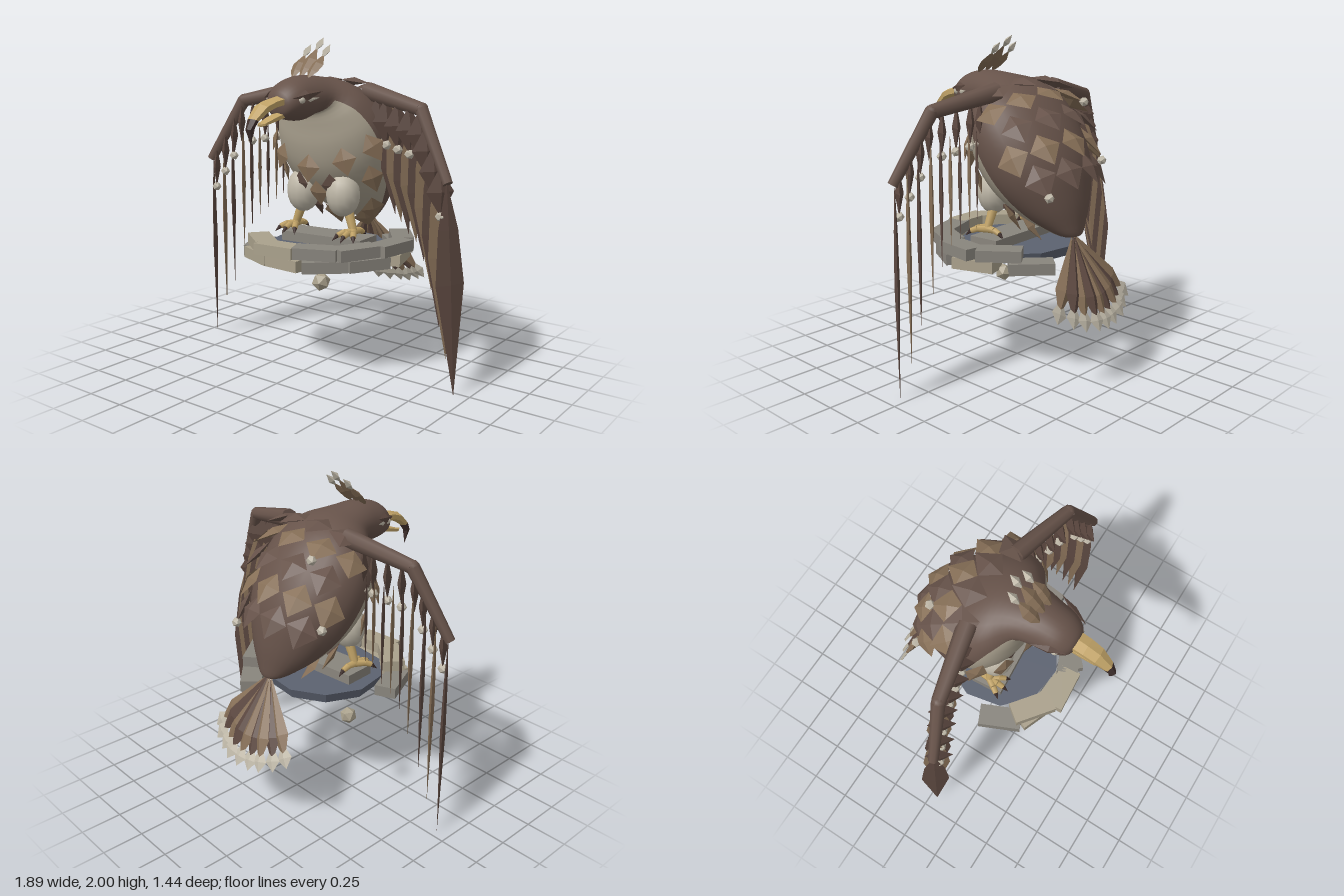
import * as THREE from 'three';

const V = (x, y, z) => new THREE.Vector3(x, y, z);
const mat = (name, color) => Object.assign(new THREE.MeshStandardMaterial({ color }), { name });

export function createModel() {
  const brown = mat('plumage brown', 0x67534a), dark = mat('dark feather brown', 0x5c4840);
  const tan = mat('tan feather', 0x866f57), cream = mat('chest cream', 0xa89f8d);
  const gold = mat('beak gold', 0xc2a468), claw = mat('claw dark', 0x40302d);
  const pale = mat('pale tip', 0xbfb8a8), stone = mat('light stone', 0xaaa18c);
  const greyStone = mat('grey stone', 0x89857d), slate = mat('slate', 0x5c6270);
  const model = new THREE.Group();
  model.name = 'perchedBird';

  const add = (name, geo, m, p) => {
    const mesh = new THREE.Mesh(geo, m);
    mesh.name = name;
    if (p) mesh.position.copy(p);
    model.add(mesh);
    return mesh;
  };
  const flat = (g) => {
    const f = g.index ? g.toNonIndexed() : g;
    f.computeVertexNormals();
    return f;
  };

  // Rings are [backY, backZ, bellyY, bellyZ, halfWidth]; the result maps (u, angle) to a surface point
  const surface = (rings) => {
    const back = new THREE.CatmullRomCurve3(rings.map((r) => V(r[4], r[0], r[1])));
    const belly = new THREE.CatmullRomCurve3(rings.map((r) => V(0, r[2], r[3])));
    const n = rings.length - 1;
    return (u, a) => {
      const b = back.getPoint(u / n), f = belly.getPoint(u / n), c = (1 + Math.cos(a)) / 2;
      return V(b.x * Math.sin(a), f.y + (b.y - f.y) * c, f.z + (b.z - f.z) * c);
    };
  };
  const loft = (fn, uMax, nu, na, pick) => {
    const pos = [], lists = [[], []];
    for (let i = 0; i <= nu; i++) for (let j = 0; j < na; j++) pos.push(...fn((uMax * i) / nu, (j / na) * Math.PI * 2).toArray());
    for (let i = 0; i < nu; i++) for (let j = 0; j < na; j++) {
      const a = i * na + j, b = i * na + ((j + 1) % na);
      lists[pick((uMax * (i + 0.5)) / nu, ((j + 0.5) / na) * Math.PI * 2)].push(a, b, a + na, b, b + na, a + na);
    }
    const g = new THREE.BufferGeometry();
    g.setAttribute('position', new THREE.Float32BufferAttribute(pos, 3));
    g.setIndex(lists.flat());
    g.addGroup(0, lists[0].length, 0);
    g.addGroup(lists[0].length, lists[1].length, 1);
    g.computeVertexNormals();
    return g;
  };

  // Ridged feather hanging from root to tip, facing n
  const feather = (name, m, root, tip, n, w, stations = [[0.45, 1]], thick = 0.25) => {
    const len = root.distanceTo(tip);
    const pts = [[0, 0], ...stations, [1, 0]].reverse().map(([t, k]) => new THREE.Vector2(k * w, -t * len));
    const g = new THREE.LatheGeometry(pts, 4);
    g.scale(1, 1, thick);
    const mesh = add(name, flat(g), m, root);
    const Y = root.clone().sub(tip).normalize(), X = Y.clone().cross(n).normalize();
    mesh.quaternion.setFromRotationMatrix(new THREE.Matrix4().makeBasis(X, Y, X.clone().cross(Y)));
    return mesh;
  };
  const gem = (p, r = 0.03) => add('paleTip', flat(new THREE.IcosahedronGeometry(r, 0)), pale, p);
  const limb = (name, m, p, q, r1, r2, sides = 8) => {
    const mesh = add(name, new THREE.CylinderGeometry(r2, r1, p.distanceTo(q), sides), m, p.clone().lerp(q, 0.5));
    mesh.quaternion.setFromUnitVectors(V(0, 1, 0), q.clone().sub(p).normalize());
    return mesh;
  };

  // Head, back and chest as one smooth loft
  const body = surface([
    [1.63, 0.48, 1.62, 0.48, 0], [1.7, 0.46, 1.56, 0.46, 0.08], [1.755, 0.39, 1.54, 0.4, 0.125],
    [1.785, 0.27, 1.53, 0.29, 0.145], [1.775, 0.1, 1.56, 0.215, 0.18], [1.75, -0.05, 1.49, 0.2, 0.28],
    [1.67, -0.2, 1.36, 0.19, 0.355], [1.5, -0.35, 1.22, 0.15, 0.375], [1.3, -0.45, 1.08, 0.05, 0.34],
    [1.1, -0.485, 0.98, -0.08, 0.255], [0.95, -0.49, 0.9, -0.25, 0.15], [0.87, -0.485, 0.86, -0.4, 0.06],
    [0.87, -0.46, 0.87, -0.45, 0]]);
  add('body', loft(body, 12, 48, 28, (u, a) => (u > 4.1 && Math.cos(a) < -0.18 ? 1 : 0)), [brown, cream]);

  // Diamond feathers laid on the body surface
  const scale = (u, a, m, len, w, lift, tip) => {
    const p = body(u, a), du = body(u + 0.05, a).sub(p).normalize(), da = body(u, a + 0.03).sub(p).normalize();
    const n = da.cross(du).normalize();
    const end = p.clone().addScaledVector(du.addScaledVector(n, lift).normalize(), len);
    feather('bodyFeather', m, p.addScaledVector(n, 0.005), end, n, w);
    if (tip) gem(end);
  };
  for (let r = 0; r < 5; r++) {
    const count = r % 2 ? 5 : 4;
    for (let i = 0; i < count; i++) {
      const a = (i - (count - 1) / 2) * 0.54;
      scale(5.0 + r * 0.7, a, r % 2 ? tan : brown, 0.21, 0.095, 0.28, (r * 5 + i * 3) % 7 === 1);
    }
  }
  // Chest, flank and under-tail feathers
  scale(6.25, Math.PI, tan, 0.17, 0.085, 0.3);
  for (const s of [-1, 1]) {
    scale(6.1, Math.PI + s * 0.62, tan, 0.17, 0.075, 0.3);
    scale(6.0, Math.PI + s * 1.15, tan, 0.18, 0.07, 0.25);
    scale(7.1, Math.PI + s * 1.0, tan, 0.18, 0.07, 0.25);
    scale(7.1, Math.PI + s * 0.3, dark, 0.16, 0.065, 0.3);
    scale(8.2, Math.PI + s * 0.35, dark, 0.18, 0.07, 0.3);
    scale(8.6, Math.PI + s * 0.95, tan, 0.19, 0.075, 0.3);
    scale(9.3, Math.PI + s * 0.7, tan, 0.19, 0.08, 0.3);
  }
  scale(7.4, Math.PI, tan, 0.17, 0.07, 0.3);
  scale(8.6, Math.PI, tan, 0.2, 0.08, 0.3);

  // Faceted beak with dark hooked tip, listed from tip to base
  const beak = surface([
    [1.42, 0.69, 1.42, 0.688, 0], [1.51, 0.722, 1.5, 0.68, 0.022], [1.565, 0.69, 1.545, 0.65, 0.036],
    [1.64, 0.61, 1.585, 0.585, 0.055], [1.665, 0.53, 1.605, 0.53, 0.06], [1.68, 0.45, 1.615, 0.45, 0.062]]);
  add('upperBeak', flat(loft(beak, 5, 5, 6, (u) => (u < 2 ? 1 : 0))), [gold, claw]);
  const jaw = surface([
    [1.53, 0.635, 1.52, 0.635, 0], [1.54, 0.6, 1.515, 0.6, 0.03], [1.57, 0.52, 1.53, 0.52, 0.04], [1.59, 0.45, 1.545, 0.45, 0.045]]);
  add('lowerBeak', flat(loft(jaw, 3, 3, 6, () => 0)), [gold, gold]);

  for (const s of [-1, 1]) {
    // Eye and brow
    add('eye', new THREE.SphereGeometry(0.022, 10, 8), pale, V(s * 0.115, 1.655, 0.395));
    feather('brow', dark, V(s * 0.1, 1.665, 0.46), V(s * 0.165, 1.7, 0.27), V(s, 0.4, 0.2), 0.03, [[0.5, 1]], 0.6);
    feather('cheekFeather', pale, V(s * 0.11, 1.64, 0.42), V(s * 0.155, 1.665, 0.28), V(s, 0, 0.2), 0.015);

    // Wing bones
    const shoulder = V(s * 0.24, 1.69, -0.07), elbow = V(s * 0.66, 1.605, 0.02), wrist = V(s * 0.88, 1.22, 0.1);
    limb('upperWingBone', brown, shoulder, elbow, 0.055, 0.04);
    limb('lowerWingBone', brown, elbow, wrist, 0.04, 0.03);
    add('wingElbow', new THREE.SphereGeometry(0.04, 8, 6), brown, elbow);
    const boneAt = (x) => (x < 0.66 ? shoulder.clone().lerp(elbow, (x - 0.24) / 0.42) : elbow.clone().lerp(wrist, (x - 0.66) / 0.22));
    const face = V(s * 0.8, 0, 0.6);

    // Long flight feathers, outermost first; the inner ones start behind the coverts
    [[0.92, 0], [0.85, 0.2], [0.79, 0.37], [0.72, 0.57], [0.66, 0.73], [0.6, 0.83], [0.54, 0.87], [0.48, 0.93], [0.43, 0.97]].forEach(([x, y], i) => {
      const root = boneAt(x - 0.05);
      root.y -= Math.min(0.16, i * 0.03);
      feather('flightFeather', i % 2 ? tan : dark, root, V(s * x, y, root.z - 0.05), face, 0.085 - i * 0.004, [[0.22, 0.7], [0.47, 1]], 0.18);
    });
    // Short covert feathers with pale tips
    [0.34, 0.4, 0.49, 0.58, 0.66, 0.71, 0.77, 0.83].forEach((x, i) => {
      const root = boneAt(x).add(V(0, 0, 0.02)), tip = root.clone().add(V(s * 0.01, -0.27, 0));
      feather('covertFeather', dark, root, tip, face, 0.082, [[0.5, 1]], 0.3);
      if (i !== 4) gem(tip);
    });

    // Thigh, leg, toes and claws
    const thigh = add('thigh', new THREE.SphereGeometry(1, 14, 10), pale, V(s * 0.15, 1.08, 0.05));
    thigh.scale.set(0.105, 0.135, 0.1);
    const foot = V(s * 0.22, 0.86, 0.04);
    limb('leg', gold, V(s * 0.17, 1.0, 0.03), foot, 0.032, 0.024);
    for (const a of [-0.6, 0, 0.6, Math.PI]) {
      const d = V(Math.sin(a), 0, Math.cos(a));
      const knuckle = foot.clone().addScaledVector(d, 0.06), end = foot.clone().addScaledVector(d, 0.1).setY(0.845);
      limb('toe', gold, foot, knuckle, 0.024, 0.02, 6);
      limb('toe', gold, knuckle, end, 0.02, 0.017, 6);
      limb('claw', claw, end, end.clone().addScaledVector(d, 0.035).setY(0.815), 0.015, 0.001, 6);
    }
  }

  // Crest
  for (const [x, y, z] of [[0, 1.94, 0.1], [-0.07, 1.9, 0.13], [0.07, 1.9, 0.13]]) {
    const tip = V(x, y, z);
    feather('crestFeather', tan, V(x * 0.8, 1.765, 0.27), tip, V(0, 0.6, 0.8), 0.046, [[0.3, 0.8], [0.6, 1]], 0.4);
    feather('crestTip', pale, tip.clone().add(V(0, -0.02, 0.02)), tip.clone().add(V(0, 0.058, -0.06)), V(0, 0.6, 0.8), 0.027, [[0.5, 1]], 0.8);
  }

  // Arched tail fan with pale tips
  const tailRoot = V(0, 0.88, -0.44), down = V(0, -0.88, -0.475), tailFace = V(0, 0.46, -0.89);
  for (let i = -4; i <= 4; i++) {
    const d = down.clone().multiplyScalar(Math.cos(i * 0.15)).add(V(Math.sin(i * 0.15), 0, 0.1 * (i / 4) ** 2));
    const at = (k) => tailRoot.clone().addScaledVector(d, k).addScaledVector(tailFace, (i % 2) * 0.008);
    feather('tailFeather', i % 2 ? dark : tan, at(0), at(0.54), tailFace, 0.058, [[0.72, 1]], 0.45);
    feather('tailTip', pale, at(0.43), at(0.59), tailFace, 0.055, [[0.6, 1]], 0.2);
  }

  // Slate disc and slab
  const disc = add('perchDisc', flat(new THREE.CylinderGeometry(0.36, 0.34, 0.06, 10)), slate, V(0, 0.735, 0));
  disc.rotation.y = 0.2;
  add('perchSlab', new THREE.BoxGeometry(0.56, 0.06, 0.2), greyStone, V(0.02, 0.795, 0.02)).rotation.y = 0.08;

  // Broken ring of stone blocks in two courses: [angle, radius, isGrey]
  const course = (y, blocks) => blocks.forEach(([deg, r, grey], i) => {
    const a = (deg * Math.PI) / 180;
    const block = add('ringBlock', new THREE.BoxGeometry(0.26, 0.067, 0.13), grey ? greyStone : stone,
      V(r * Math.sin(a), y, r * Math.cos(a)));
    block.rotation.y = a + (i % 2 ? 0.13 : -0.1);
  });
  course(0.722, [[-60, 0.425, 1], [-29, 0.42, 0], [2, 0.415, 0], [34, 0.425, 1], [67, 0.43, 1], [101, 0.44, 0], [143, 0.455, 1]]);
  course(0.795, [[-32, 0.42, 0], [-3, 0.445, 0], [28, 0.425, 1], [58, 0.435, 1], [89, 0.465, 1], [120, 0.45, 1]]);

  // Loose rubble
  for (const [x, y, z, r] of [[-0.39, 0.66, -0.18, 0.05], [0.23, 0.63, 0.37, 0.055], [0.33, 0.67, -0.2, 0.05]]) {
    add('rubble', flat(new THREE.IcosahedronGeometry(r, 0)), stone, V(x, y, z)).rotation.set(x * 5, y, z * 4);
  }
  return model;
}
